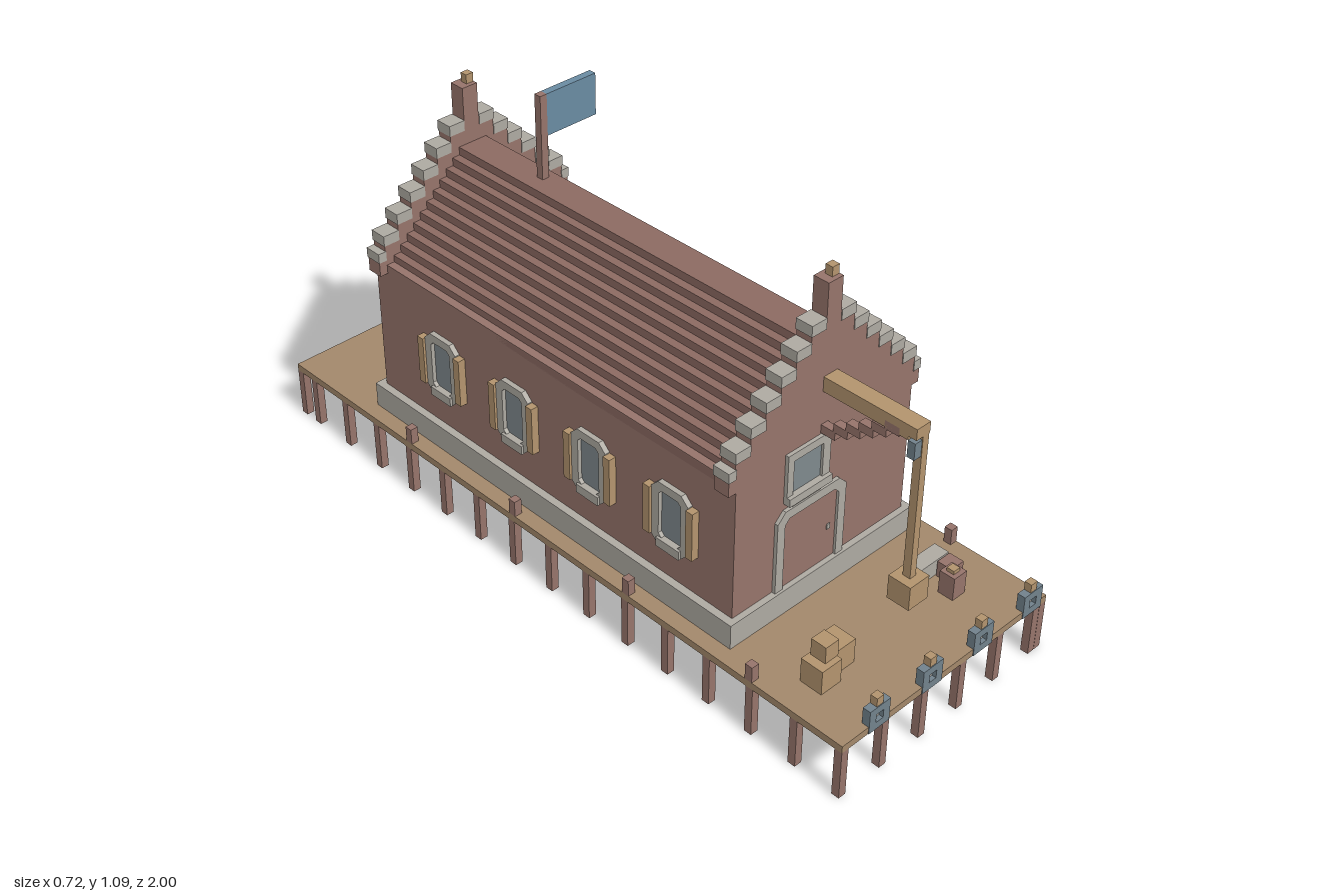
import * as THREE from 'three';

const mat = (name, color) => new THREE.MeshStandardMaterial({ name, color });

export function createModel() {
  const root = new THREE.Group();
  root.name = 'dockWarehouse';
  const brick = mat('brick', 0x96746b), roofRed = mat('roofTile', 0x8c6a62), deckWood = mat('deckWood', 0xa3886b),
    stone = mat('stone', 0xaeaaa2), wood = mat('paleWood', 0xb3946e), glass = mat('glass', 0x7f898d),
    steel = mat('steel', 0x72828c), flagBlue = mat('flagBlue', 0x6a8ba2);

  // Box from its extents
  const box = (name, m, x0, x1, y0, y1, z0, z1, parent = root) => {
    const b = new THREE.Mesh(new THREE.BoxGeometry(x1 - x0, y1 - y0, z1 - z0), m);
    b.name = name;
    b.position.set((x0 + x1) / 2, (y0 + y1) / 2, (z0 + z1) / 2);
    parent.add(b);
    return b;
  };
  const extrude = (name, m, shape, depth, parent = root) => {
    const e = new THREE.Mesh(new THREE.ExtrudeGeometry(shape, { depth, bevelEnabled: false }), m);
    e.name = name;
    parent.add(e);
    return e;
  };
  const polygon = (pts) => new THREE.Shape(pts.map(([x, y]) => new THREE.Vector2(x, y)));
  const rect = (x0, x1, y0, y1) => polygon([[x0, y0], [x1, y0], [x1, y1], [x0, y1]]);
  // Rectangle with clipped corners; lower corners clipped only when asked
  const clipped = (w, y0, y1, c, low) => polygon([
    ...(low ? [[-w, y0 + c], [-w + c, y0], [w - c, y0], [w, y0 + c]] : [[-w, y0], [w, y0]]),
    [w, y1 - c], [w - c, y1], [-w + c, y1], [-w, y1 - c]]);

  // Deck and foundation, both open underneath the house
  const ring = (name, m, outer, inner, y, h) => {
    const s = rect(...outer);
    s.holes.push(rect(...inner));
    const r = extrude(name, m, s, h);
    r.rotation.x = -Math.PI / 2;
    r.position.y = y;
  };
  // shape y is -z
  ring('deck', deckWood, [-0.36, 0.36, -1, 1], [-0.295, 0.295, -0.595, 0.68], 0.14, 0.02);
  ring('foundation', stone, [-0.316, 0.316, -0.615, 0.7], [-0.28, 0.28, -0.58, 0.665], 0.16, 0.07);
  box('floor', stone, -0.285, 0.285, 0.225, 0.235, -0.67, 0.585);

  // Deck piles
  const pile = (x, z) => box('pile', brick, x - 0.011, x + 0.011, 0, 0.14, z - 0.011, z + 0.011);
  for (let i = 0; i < 6; i++) {
    const x = i === 5 ? 0.326 : -0.349 + i * 0.135;
    pile(x, 0.989);
    pile(x, -0.989);
  }
  for (const s of [-1, 1]) {
    pile(s * 0.349, -0.989);
    if (s > 0) pile(0.349, 0.989);
    for (let i = 1; i < 15; i++) pile(s * 0.349, 0.993 - i * 0.1372);
    // Mooring posts along the edge
    for (const z of [0.715, 0.31, -0.1, -0.51])
      box('mooringPost', brick, s > 0 ? 0.338 : -0.36, s > 0 ? 0.36 : -0.338, 0.16, 0.205, z - 0.011, z + 0.011);
    box('sideWall', brick, s > 0 ? 0.265 : -0.295, s > 0 ? 0.295 : -0.265, 0.23, 0.62, -0.64, 0.56);
  }

  // Stepped roof
  const half = [];
  const n = 11, rise = 0.0224;
  for (let i = 0; i <= n; i++) {
    const x = 0.295 - i * 0.0228;
    half.push([x, 0.617 + (i - 1) * rise], [x, 0.617 + i * rise]);
  }
  const roof = extrude('roof', roofRed, polygon([...half, ...half.slice().reverse().map(([x, y]) => [-x, y])]), 1.2);
  roof.position.z = -0.64;

  // Crow-stepped gables with stone caps
  const gable = (name, z0, z1) => {
    const g = new THREE.Group();
    g.name = name;
    root.add(g);
    const right = [[0.295, 0.23], [0.295, 0.595], [0.318, 0.595], [0.318, 0.66]];
    for (let i = 0; i < 6; i++) {
      const x = 0.298 - i * 0.0456, top = 0.705 + i * 0.0454;
      right.push([x, top - 0.045], [x, top]);
      for (const s of [-1, 1]) {
        const a = s * (x - 0.0456), b = s * (x + 0.002);
        box('gableCap', stone, Math.min(a, b), Math.max(a, b), top - 0.028, top + 0.001, z0 - 0.002, z1 + 0.002, g);
      }
    }
    right.push([0.0235, 0.932], [0.0235, 1.022]);
    const wall = extrude('gableWall', brick, polygon([...right, ...right.slice().reverse().map(([x, y]) => [-x, y])]), z1 - z0, g);
    wall.position.z = z0;
    for (const s of [-1, 1])
      box('corbelCap', stone, s > 0 ? 0.296 : -0.32, s > 0 ? 0.32 : -0.296, 0.635, 0.662, z0 - 0.002, z1 + 0.002, g);
    box('finialTip', wood, 0, 0.022, 1.022, 1.047, z0 + 0.012, z1 - 0.012, g);
  };
  gable('frontGable', 0.553, 0.598);
  gable('backGable', -0.68, -0.635);

  // Side windows with shutters, built facing +z and turned outward
  const sideWindow = (side, z) => {
    const g = new THREE.Group();
    g.name = 'sideWindow';
    const s = clipped(0.06, 0.32, 0.505, 0.022, true);
    s.holes.push(clipped(0.036, 0.345, 0.482, 0.01, true));
    extrude('windowFrame', stone, s, 0.014, g);
    box('windowPane', glass, -0.038, 0.038, 0.343, 0.484, -0.003, 0.003, g);
    box('windowSill', stone, -0.038, 0.038, 0.32, 0.345, 0, 0.021, g);
    for (const k of [-1, 1]) box('shutter', wood, k * 0.07 - 0.011, k * 0.07 + 0.011, 0.343, 0.48, 0, 0.021, g);
    g.rotation.y = side * Math.PI / 2;
    g.position.set(side * 0.295, 0, z);
    root.add(g);
  };
  for (const side of [-1, 1]) for (const z of [0.405, 0.13, -0.145, -0.42]) sideWindow(side, z);

  // Doors
  const door = (name, x, z, turn, w) => {
    const g = new THREE.Group();
    g.name = name;
    const s = clipped(w, 0.23, 0.46, 0.025, false);
    s.holes.push(clipped(w - 0.025, 0.23, 0.435, 0.015, false));
    extrude('doorFrame', stone, s, 0.01, g);
    box('doorLeaf', brick, -w + 0.024, w - 0.024, 0.23, 0.436, 0, 0.003, g);
    box('doorHandle', stone, w - 0.055, w - 0.045, 0.32, 0.335, 0, 0.006, g);
    g.rotation.y = turn;
    g.position.set(x, 0, z);
    root.add(g);
  };
  door('frontDoor', -0.047, 0.598, 0, 0.116);
  door('backDoor', -0.015, -0.68, Math.PI, 0.093);

  // Loft hatch above the front door
  const hatch = rect(-0.137, 0.005, 0.485, 0.617);
  hatch.holes.push(rect(-0.117, -0.02, 0.497, 0.595));
  extrude('hatchFrame', stone, hatch, 0.01).position.z = 0.598;
  box('hatchPane', glass, -0.118, -0.019, 0.496, 0.596, 0.597, 0.601);
  box('hatchSill', stone, -0.137, 0.005, 0.478, 0.5, 0.598, 0.618);
  box('hatchLintel', stone, -0.115, -0.02, 0.462, 0.472, 0.598, 0.606);

  // Hoist: beam, stepped brace, rope and load
  box('hoistBeam', wood, -0.0225, 0.0225, 0.735, 0.775, 0.598, 0.845);
  box('hoistBeamEnd', wood, -0.0225, 0.0225, 0.745, 0.775, 0.845, 0.868);
  for (let i = 0; i < 6; i++) {
    const z = 0.598 + i * 0.036, y = 0.62 + i * 0.022;
    box('hoistBrace', brick, -0.0225, 0.0, y, y + 0.023, z, z + 0.042);
  }
  box('pulley', steel, -0.0225, 0, 0.69, 0.735, 0.845, 0.866);
  box('hoistRope', wood, 0, 0.02, 0.34, 0.745, 0.846, 0.868);
  box('hoistLoad', wood, -0.024, 0.042, 0.275, 0.342, 0.825, 0.89);

  // Fenders on the front edge
  for (const x of [-0.24, -0.059, 0.122, 0.304]) {
    const s = rect(x - 0.034, x + 0.034, 0.14, 0.206);
    s.holes.push(rect(x - 0.012, x + 0.012, 0.161, 0.185));
    extrude('fender', steel, s, 0.022).position.z = 0.98;
    box('fenderCore', stone, x - 0.013, x + 0.013, 0.16, 0.186, 0.981, 0.99);
    box('fenderPeg', wood, x - 0.011, x + 0.011, 0.206, 0.23, 0.98, 1.0);
  }

  // Cargo on the front deck
  box('crate', wood, -0.275, -0.21, 0.16, 0.228, 0.795, 0.86);
  box('crate', wood, -0.205, -0.14, 0.16, 0.23, 0.772, 0.838);
  box('smallCrate', wood, -0.25, -0.207, 0.228, 0.275, 0.8, 0.845);
  box('sacks', stone, 0.137, 0.27, 0.16, 0.206, 0.728, 0.772);
  box('barrel', brick, 0.183, 0.228, 0.16, 0.226, 0.815, 0.86);
  box('barrel', brick, 0.225, 0.27, 0.16, 0.205, 0.775, 0.818);
  box('barrelLid', wood, 0.194, 0.216, 0.226, 0.236, 0.826, 0.848);

  // Flag on the ridge
  box('flagPole', brick, 0, 0.021, 0.86, 1.094, -0.386, -0.365);
  box('flag', flagBlue, 0.021, 0.18, 0.98, 1.094, -0.386, -0.365);
  return root;
}
